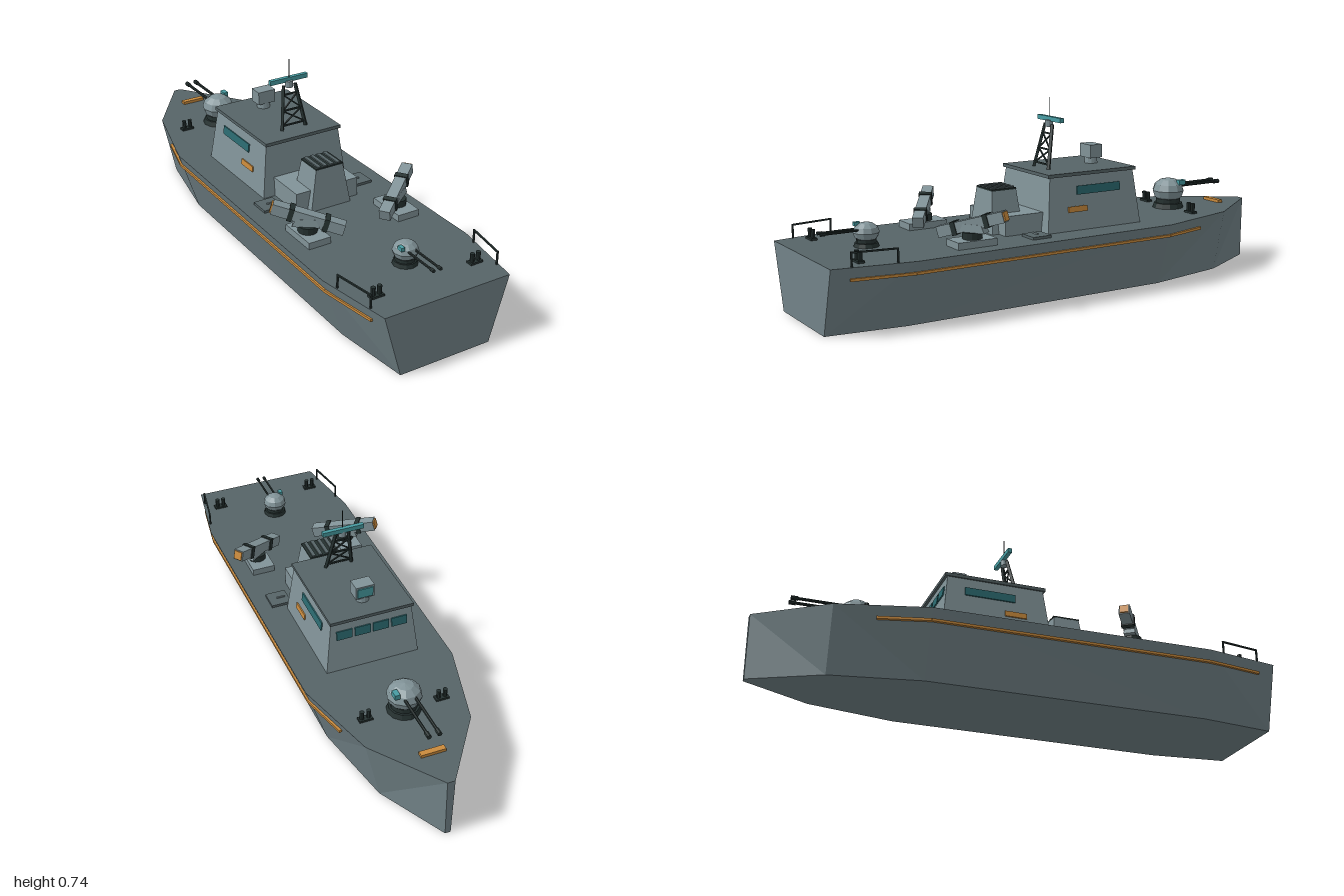
import * as THREE from 'three';

const paint = (name, color) => {
  const m = new THREE.MeshStandardMaterial({ color });
  m.name = name;
  return m;
};
const hullGrey = paint('hull grey', 0x728388);
const houseGrey = paint('superstructure grey', 0x819398);
const deckGrey = paint('deck grey', 0x566467);
const gunmetal = paint('gunmetal', 0x253130);
const amber = paint('amber', 0xc98a3c);
const teal = paint('teal', 0x489da3);
const glass = paint('window glass', 0x2b6a70);
const V = (x, y, z) => new THREE.Vector3(x, y, z);
const DECK = 0.25;

// Faceted mesh added to a parent
function add(parent, name, geo, mat, x = 0, y = 0, z = 0) {
  const g = geo.index ? geo.toNonIndexed() : geo;
  g.computeVertexNormals();
  const mesh = new THREE.Mesh(g, mat);
  mesh.name = name;
  mesh.position.set(x, y, z);
  parent.add(mesh);
  return mesh;
}
const box = (p, name, w, h, d, mat, x, y, z) => add(p, name, new THREE.BoxGeometry(w, h, d), mat, x, y, z);
const drum = (p, name, rt, rb, h, mat, x, y, z, n = 12) => add(p, name, new THREE.CylinderGeometry(rt, rb, h, n), mat, x, y, z);

// Box whose top face is scaled
function taper(p, name, w, h, d, kx, kz, mat, x, y, z) {
  const g = new THREE.BoxGeometry(w, h, d), a = g.attributes.position;
  for (let i = 0; i < a.count; i++) {
    if (a.getY(i) > 0) a.setXYZ(i, a.getX(i) * kx, a.getY(i), a.getZ(i) * kz);
  }
  return add(p, name, g, mat, x, y, z);
}

// Square bar between two points
function bar(p, name, a, b, w, h, mat) {
  const m = box(p, name, w, h, a.distanceTo(b), mat, 0, 0, 0);
  m.position.copy(a).lerp(b, 0.5);
  m.lookAt(b);
  return m;
}

// Hull stations, bow to stern: z and half-width at the deck
const stations = [[-1, 0.015], [-0.74, 0.204], [-0.4, 0.296], [0.7, 0.308], [1, 0.26]];
function halfWidth(z) {
  const i = Math.max(1, stations.findIndex(s => s[0] >= z));
  const [z0, w0] = stations[i - 1], [z1, w1] = stations[i];
  return w0 + (w1 - w0) * (z - z0) / (z1 - z0);
}

function buildHull(root) {
  const shell = [], deck = [];
  const tri = (list, a, b, c) => [a, b, c].forEach(v => list.push(v.x, v.y, v.z));
  const top = (i, s) => V(s * stations[i][1], DECK, stations[i][0]);
  const low = (i, s) => V(s * stations[i][1] * 0.72, 0, stations[i][0]);
  const last = stations.length - 1;
  for (let i = 0; i < last; i++) {
    tri(shell, low(i, 1), top(i, 1), low(i + 1, 1));
    tri(shell, low(i + 1, 1), top(i, 1), top(i + 1, 1));
    tri(shell, low(i, -1), low(i + 1, -1), top(i, -1));
    tri(shell, low(i + 1, -1), top(i + 1, -1), top(i, -1));
    tri(shell, low(i, -1), low(i + 1, 1), low(i + 1, -1));
    tri(shell, low(i, -1), low(i, 1), low(i + 1, 1));
    tri(deck, top(i, -1), top(i + 1, -1), top(i + 1, 1));
    tri(deck, top(i, -1), top(i + 1, 1), top(i, 1));
  }
  for (const [i, s] of [[last, 1], [0, -1]]) {
    tri(shell, low(i, -s), low(i, s), top(i, s));
    tri(shell, low(i, -s), top(i, s), top(i, -s));
  }
  const geo = list => new THREE.BufferGeometry().setAttribute('position', new THREE.Float32BufferAttribute(list, 3));
  add(root, 'hull', geo(shell), hullGrey);
  add(root, 'deck', geo(deck), deckGrey);

  // Rubbing strakes along both sides
  const zs = [-0.59, -0.4, 0.7, 0.93];
  for (const s of [-1, 1]) {
    const pts = zs.map(z => V(s * (halfWidth(z) * 0.95 + 0.003), 0.205, z));
    for (let i = 0; i < 3; i++) bar(root, 'strake', pts[i], pts[i + 1], 0.012, 0.01, amber);
  }
}

// Twin gun turret, muzzles toward -z
function turret(root, name, z, scale, turn) {
  const t = new THREE.Group();
  t.name = name;
  drum(t, 'turretBase', 0.058, 0.064, 0.02, gunmetal, 0, 0.01, 0);
  drum(t, 'turretRing', 0.05, 0.05, 0.02, gunmetal, 0, 0.028, 0);
  add(t, 'turretDome', new THREE.SphereGeometry(0.066, 10, 6), houseGrey, 0, 0.071, 0).scale.y = 0.78;
  for (const s of [-1, 1]) {
    const x = s * 0.02;
    drum(t, 'barrel', 0.006, 0.006, 0.2, gunmetal, x, 0.088, -0.145, 8).rotation.x = Math.PI / 2;
    drum(t, 'muzzle', 0.009, 0.009, 0.025, gunmetal, x, 0.088, -0.237, 8).rotation.x = Math.PI / 2;
  }
  box(t, 'gunSight', 0.02, 0.02, 0.032, teal, 0.047, 0.107, -0.03);
  t.position.set(0, DECK, z);
  t.rotation.y = turn;
  t.scale.setScalar(scale);
  root.add(t);
}

function buildHouse(root) {
  taper(root, 'deckhouse', 0.37, 0.208, 0.425, 0.865, 0.895, houseGrey, 0, 0.354, -0.118);
  box(root, 'roof', 0.332, 0.013, 0.4, deckGrey, 0, 0.463, -0.118);
  const lean = Math.atan(0.025 / 0.208), leanZ = Math.atan(0.0223 / 0.208);
  // Side windows and marker panels
  for (const s of [-1, 1]) {
    const wallX = y => s * (0.185 - (y - DECK) * 0.12 + 0.001);
    box(root, 'sideWindow', 0.008, 0.033, 0.198, glass, wallX(0.401), 0.401, -0.142).rotation.z = s * lean;
    box(root, 'sidePanel', 0.008, 0.022, 0.086, amber, wallX(0.331), 0.331, -0.043).rotation.z = s * lean;
  }
  // Bridge windows
  for (let i = 0; i < 4; i++) {
    box(root, 'bridgeWindow', 0.062, 0.036, 0.008, glass, (i - 1.5) * 0.073, 0.403, -0.315).rotation.x = leanZ;
  }
  // Director on the roof
  drum(root, 'directorPost', 0.024, 0.026, 0.03, houseGrey, 0, 0.482, -0.222);
  box(root, 'director', 0.074, 0.052, 0.055, houseGrey, 0, 0.519, -0.222);
  box(root, 'directorLens', 0.06, 0.038, 0.006, teal, 0, 0.519, -0.251);

  // Engine casing and funnel
  box(root, 'engineCasing', 0.27, 0.075, 0.17, houseGrey, 0, 0.2875, 0.165);
  taper(root, 'funnel', 0.172, 0.16, 0.134, 0.68, 0.78, houseGrey, 0, 0.33, 0.211);
  box(root, 'funnelGrille', 0.118, 0.006, 0.106, gunmetal, 0, 0.412, 0.211);
  for (let i = 0; i < 4; i++) box(root, 'grilleSlat', 0.014, 0.008, 0.1, deckGrey, (i - 1.5) * 0.028, 0.416, 0.211);
}

function buildMast(root) {
  const m = new THREE.Group();
  m.name = 'mast';
  root.add(m);
  // Leaning lattice frame
  const at = (s, y) => {
    const k = (y - 0.46) / 0.175;
    return V(s * (0.054 - 0.028 * k), y, 0.012 - 0.036 * k);
  };
  for (const s of [-1, 1]) bar(m, 'mastLeg', at(s, 0.46), at(s, 0.637), 0.011, 0.011, gunmetal);
  const levels = [0.486, 0.542, 0.602];
  levels.forEach((y, i) => {
    bar(m, 'mastRung', at(-1, y), at(1, y), 0.006, 0.006, gunmetal);
    if (i < 2) for (const s of [-1, 1]) bar(m, 'mastBrace', at(s, y), at(-s, levels[i + 1]), 0.005, 0.005, gunmetal);
  });
  drum(m, 'radarPivot', 0.015, 0.015, 0.026, houseGrey, 0, 0.64, -0.026);
  box(m, 'radarBar', 0.164, 0.018, 0.016, teal, 0, 0.657, -0.032);
  drum(m, 'aerial', 0.002, 0.002, 0.076, gunmetal, 0, 0.702, -0.027, 6);
}

function buildLauncher(root, s) {
  const g = new THREE.Group();
  g.name = 'launcher';
  root.add(g);
  box(g, 'launcherBase', 0.092, 0.026, 0.16, houseGrey, s * 0.193, 0.263, 0.425);
  drum(g, 'launcherTurntable', 0.036, 0.036, 0.026, gunmetal, s * 0.195, 0.288, 0.425);
  const cradle = taper(g, 'launcherCradle', 0.1, 0.03, 0.044, 0.72, 0.9, houseGrey, s * 0.2, 0.315, 0.42);
  cradle.rotation.y = s * 0.62;
  // Inclined box launcher with bands and end cap
  const tail = V(s * 0.087, 0.291, 0.5), nose = V(s * 0.297, 0.366, 0.347);
  const along = k => tail.clone().lerp(nose, k);
  bar(g, 'launchTube', tail, nose, 0.042, 0.042, houseGrey);
  for (const k of [0.25, 0.74]) bar(g, 'tubeBand', along(k - 0.035), along(k + 0.035), 0.05, 0.05, gunmetal);
  bar(g, 'tubeCap', nose, along(1.02), 0.034, 0.034, amber);
}

function buildFittings(root) {
  for (const s of [-1, 1]) {
    // Bollards fore and aft
    for (const [x, z] of [[0.15, -0.61], [0.208, 0.875]]) {
      box(root, 'bollardPlate', 0.052, 0.008, 0.026, gunmetal, s * x, 0.254, z);
      for (const d of [-0.013, 0.013]) drum(root, 'bollard', 0.009, 0.008, 0.036, gunmetal, s * x + d, 0.272, z, 8);
    }
    // Stern guard rails
    const foot = z => V(s * (halfWidth(z) - 0.008), DECK, z);
    const head = z => foot(z).setY(0.3);
    for (const z of [0.765, 0.925]) bar(root, 'railPost', foot(z), head(z), 0.006, 0.006, gunmetal);
    bar(root, 'rail', head(0.762), head(0.928), 0.006, 0.006, gunmetal);
    // Deck hatches
    box(root, 'hatch', 0.08, 0.01, 0.08, deckGrey, s * 0.2, 0.255, 0.155);
    box(root, 'hatchHandle', 0.034, 0.006, 0.006, houseGrey, s * 0.19, 0.262, 0.155);
  }
  box(root, 'bowLocker', 0.095, 0.012, 0.022, amber, 0, 0.256, -0.85);
}

export function createModel() {
  const root = new THREE.Group();
  root.name = 'patrolBoat';
  buildHull(root);
  buildHouse(root);
  buildMast(root);
  turret(root, 'bowTurret', -0.61, 1, 0);
  turret(root, 'sternTurret', 0.75, 0.73, Math.PI);
  for (const s of [-1, 1]) buildLauncher(root, s);
  buildFittings(root);
  return root;
}
